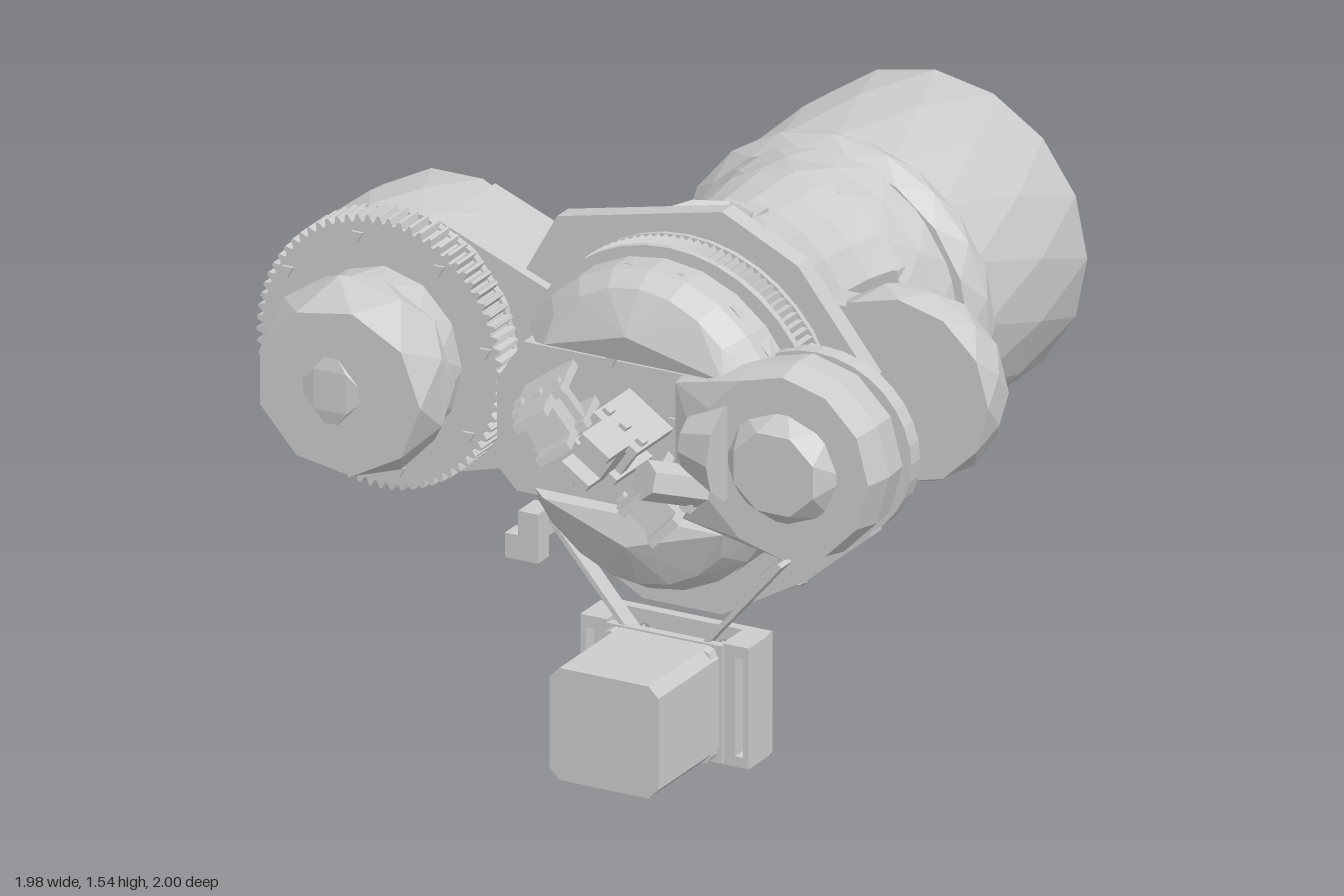
import * as THREE from 'three';
import { ConvexGeometry } from 'three/addons/geometries/ConvexGeometry.js';

const mat = new THREE.MeshStandardMaterial({ color: 0xcccccc, flatShading: true, side: THREE.DoubleSide });

function add(parent, name, geo, x = 0, y = 0, z = 0) {
  const m = new THREE.Mesh(geo, mat);
  m.name = name;
  m.position.set(x, y, z);
  parent.add(m);
  return m;
}

const box = (p, name, x0, x1, y0, y1, z0, z1) =>
  add(p, name, new THREE.BoxGeometry(x1 - x0, y1 - y0, z1 - z0), (x0 + x1) / 2, (y0 + y1) / 2, (z0 + z1) / 2);
const hull = (p, name, pts) => add(p, name, new ConvexGeometry(pts.map((v) => new THREE.Vector3(...v))));

// Faceted body along z from sections [z, cx, cy, rx, ry]; an arc [from, to] in degrees gives an open shell
function loft(p, name, rings, n = 14, caps = [true, true], arc = null) {
  const pos = [], idx = [], cols = arc ? n + 1 : n;
  const [from, to] = arc || [0, 360];
  rings.forEach(([z, cx, cy, rx, ry], i) => {
    for (let j = 0; j < cols; j++) {
      const turn = arc ? 0 : (i % 2) * 0.5;
      const a = THREE.MathUtils.degToRad(from + ((j + turn) / n) * (to - from));
      pos.push(cx + rx * Math.cos(a), cy + ry * Math.sin(a), z);
    }
  });
  for (let i = 0; i < rings.length - 1; i++) {
    for (let j = 0; j < n; j++) {
      const a = i * cols + j, b = i * cols + ((j + 1) % cols), c = a + cols, d = b + cols;
      if (i % 2 === 0) idx.push(a, b, c, b, d, c);
      else idx.push(a, b, d, a, d, c);
    }
  }
  const last = (rings.length - 1) * cols;
  for (let j = 1; j < cols - 1; j++) {
    if (caps[0]) idx.push(0, j + 1, j);
    if (caps[1]) idx.push(last, last + j, last + j + 1);
  }
  const g = new THREE.BufferGeometry();
  g.setAttribute('position', new THREE.Float32BufferAttribute(pos, 3));
  g.setIndex(idx);
  g.computeVertexNormals();
  return add(p, name, g);
}

// Flat outline pushed from z0 to z1, with optional holes
const vecs = (pts) => pts.map(([x, y]) => new THREE.Vector2(x, y));
function prism(p, name, pts, z0, z1, holes = []) {
  const s = new THREE.Shape(vecs(pts));
  holes.forEach((h) => s.holes.push(new THREE.Path(vecs(h))));
  return add(p, name, new THREE.ExtrudeGeometry(s, { depth: z1 - z0, bevelEnabled: false }), 0, 0, z0);
}
const ngon = (cx, cy, rx, ry, n, turn = 0) => Array.from({ length: n }, (_, i) => {
  const a = ((i + turn) / n) * Math.PI * 2;
  return [cx + rx * Math.cos(a), cy + ry * Math.sin(a)];
});
const ring = (cx, cy, r, z, n, turn = 0) => ngon(cx, cy, r, r, n, turn).map(([x, y]) => [x, y, z]);
const rect = (x0, x1, y0, y1) => [[x0, y0], [x1, y0], [x1, y1], [x0, y1]];

// Small three-sided screw marks round a face
function screws(p, cx, cy, r, z, n) {
  ring(cx, cy, r, z, n, 0.25).forEach((v) => {
    const m = add(p, 'screw', new THREE.CylinderGeometry(0.02, 0.02, 0.012, 3), ...v);
    m.rotation.x = Math.PI / 2;
  });
}

function buildUpperArm(g) {
  const cx = 0.21, cy = 0.975;
  // Hollow rear tube with its end face and inner board
  loft(g, 'rearTube', [[-1, cx, cy, 0.46, 0.45], [-0.75, cx, cy, 0.47, 0.46], [-0.46, cx, cy, 0.455, 0.45]], 16, [false, false]);
  const opening = [[-0.12, 0.8], [0.02, 0.64], [0.4, 0.64], [0.54, 0.8], [0.54, 1.17], [-0.12, 1.17]];
  const slot = [[-0.08, 1.22], [0.5, 1.22], [0.36, 1.34], [0.06, 1.34]];
  prism(g, 'tubeWall', ngon(cx, cy, 0.455, 0.445, 16), -0.998, -0.5, [opening, slot]);
  box(g, 'innerBoard', 0.16, 0.34, 0.66, 1.17, -0.82, -0.5);
  box(g, 'innerRail', 0.02, 0.09, 0.66, 1.17, -0.9, -0.5);
  screws(g, cx, cy, 0.41, -0.998, 12);
  loft(g, 'collar', [[-0.48, cx, cy, 0.47, 0.455], [-0.44, cx, cy, 0.475, 0.465], [-0.39, cx, cy, 0.44, 0.43]], 18);
  // Neck, then an upper and a lower shell with the sides open
  loft(g, 'neck', [[-0.42, cx, cy, 0.42, 0.44], [-0.32, cx, 0.96, 0.395, 0.45], [-0.22, cx, 0.96, 0.365, 0.45]], 16);
  const shell = [[-0.23, cx, 0.96, 0.385, 0.45], [-0.12, 0.2, 0.965, 0.35, 0.435], [0, 0.2, 0.965, 0.335, 0.435],
    [0.12, 0.2, 0.975, 0.35, 0.445], [0.22, 0.2, 0.985, 0.39, 0.46], [0.36, 0.205, 0.98, 0.425, 0.465]];
  loft(g, 'upperShell', shell, 8, [false, false], [32, 148]);
  loft(g, 'lowerShell', shell, 8, [false, false], [212, 328]);
  // Access port on top
  const rim = add(g, 'portRim', new THREE.TorusGeometry(0.13, 0.035, 4, 8), 0.22, 1.42, 0.27);
  rim.rotation.x = Math.PI / 2;
  add(g, 'portCore', new THREE.CylinderGeometry(0.06, 0.11, 0.06, 6), 0.22, 1.42, 0.27);
  prism(g, 'topTab', rect(0.15, 0.27, 1.36, 1.405), 0.02, 0.13);
  // Drive unit seen through the open sides
  box(g, 'innerDrive', -0.1, 0.53, 0.72, 1.19, -0.37, -0.215);
  box(g, 'driveShaft', 0.1, 0.42, 0.91, 1.09, -0.22, 0);
}

function buildBearing(g) {
  const cx = 0.24, cy = 0.97;
  prism(g, 'mountPlate', [
    [0.1, 0.39], [0.34, 0.39], [0.6, 0.54], [0.79, 0.7], [0.79, 1.15], [0.57, 1.43], [0.34, 1.54],
    [-0.16, 1.43], [-0.26, 1.25], [-0.26, 0.75], [-0.13, 0.52]], 0.34, 0.4);
  // Finely toothed pulley between two rims
  const teeth = ngon(cx, cy, 1, 1, 240).map(([x, y], i) => {
    const r = i % 2 ? 0.465 : 0.452;
    return [cx + (x - cx) * r, cy + (y - cy) * r * 1.045];
  });
  prism(g, 'pulley', teeth, 0.415, 0.49);
  for (const z of [0.395, 0.49]) prism(g, 'pulleyRim', ngon(cx, cy, 0.465, 0.487, 40), z, z + 0.02);
  // Belt runs down to the motor
  for (const s of [-1, 1]) {
    const a = new THREE.Vector2(0.21 + s * 0.35, 0.6), b = new THREE.Vector2(0.21 + s * 0.05, 0.25);
    const d = a.clone().sub(b);
    const m = add(g, 'beltRun', new THREE.BoxGeometry(0.014, d.length(), 0.055), (a.x + b.x) / 2, (a.y + b.y) / 2, 0.455);
    m.rotation.z = Math.atan2(-d.x, d.y);
  }
  box(g, 'tensionBlock', -0.24, -0.14, 0.49, 0.56, 0.48, 0.54);
  box(g, 'tensionBlockTop', -0.2, -0.14, 0.55, 0.63, 0.45, 0.54);
  add(g, 'cableEye', new THREE.TorusGeometry(0.025, 0.008, 5, 10), 0.56, 0.54, 0.38);
}

function buildMotor(g) {
  prism(g, 'motorBody', [[0.08, 0.015], [0.35, 0.015], [0.38, 0.045], [0.38, 0.305], [0.35, 0.335], [0.08, 0.335], [0.05, 0.305], [0.05, 0.045]], 0.48, 0.82);
  const holes = [[0.09, 0.05], [0.33, 0.05], [0.09, 0.29], [0.33, 0.29]].map(([x, y]) => ngon(x, y, 0.018, 0.018, 8));
  prism(g, 'motorPlate', rect(-0.04, 0.46, 0, 0.345), 0.34, 0.37, [ngon(0.21, 0.17, 0.095, 0.095, 6), ...holes]);
  prism(g, 'motorFacePlate', rect(0.04, 0.39, 0.005, 0.34), 0.465, 0.49);
  // Slotted side flanges
  for (const s of [-1, 1]) {
    const x = 0.21 + s * 0.215;
    prism(g, 'sideFlange', rect(x - 0.04, x + 0.04, 0, 0.345), 0.37, 0.48, [rect(x - 0.012 + s * 0.01, x + 0.012 + s * 0.01, 0.03, 0.31)]);
    for (const y of [0.035, 0.31]) {
      const b = add(g, 'motorBolt', new THREE.CylinderGeometry(0.025, 0.025, 0.05, 8), 0.21 + s * 0.14, y, 0.5);
      b.rotation.x = Math.PI / 2;
    }
  }
  prism(g, 'motorPulley', ngon(0.21, 0.17, 0.07, 0.07, 16), 0.36, 0.47, [ngon(0.21, 0.17, 0.025, 0.025, 8)]);
}

function buildShoulder(g) {
  const cx = -0.62, cy = 1.0;
  loft(g, 'housing', [[0.115, cx, cy, 0.35, 0.37], [0.3, cx, cy, 0.37, 0.385], [0.45, cx, cy, 0.365, 0.385]], 14);
  // Fine spur gear
  const gear = ngon(cx, cy, 1, 1, 288).map(([x, y], i) => {
    const r = i % 4 < 2 ? 0.387 : 0.368;
    return [cx + (x - cx) * r * 0.96, cy + (y - cy) * r];
  });
  prism(g, 'gear', gear, 0.44, 0.54);
  screws(g, cx, cy, 0.33, 0.543, 8);
  loft(g, 'frontNeck', [[0.53, -0.605, cy, 0.235, 0.25], [0.65, -0.605, cy, 0.235, 0.25]], 12);
  loft(g, 'frontCap', [[0.64, -0.6, cy, 0.265, 0.265], [0.71, -0.6, cy, 0.28, 0.28], [0.84, -0.58, cy, 0.25, 0.235]], 9);
  loft(g, 'capBoss', [[0.835, -0.6, cy, 0.11, 0.12], [0.847, -0.6, cy, 0.07, 0.08]], 4);
  loft(g, 'rearCap', [[0.015, -0.59, cy, 0.235, 0.245], [0.12, -0.59, cy, 0.25, 0.26]], 9);
  loft(g, 'rearPeg', [[-0.11, -0.59, cy, 0.075, 0.075], [0.02, -0.59, cy, 0.045, 0.05]], 6);
  box(g, 'rearBlock', -0.42, -0.36, 0.86, 1.12, 0.02, 0.13);
  // Web joining the housing to the waist
  prism(g, 'web', [[-0.5, 0.64], [-0.2, 0.72], [0.1, 0.72], [0.1, 1.22], [-0.15, 1.22], [-0.5, 1.36]], 0.125, 0.43);
  loft(g, 'webBoss', [[0.02, -0.1, 0.98, 0.1, 0.2], [0.14, -0.1, 0.98, 0.12, 0.22]], 8);
}

function buildFork(g) {
  const cx = 0.705, cy = 0.995;
  // Front head: a base disc and two rounded crescents with a recessed panel between them
  loft(g, 'headBase', [[0.5, 0.23, 0.97, 0.43, 0.45], [0.57, 0.23, 0.97, 0.43, 0.455]], 16);
  for (const s of [-1, 1]) {
    const pts = [[-0.04, 0.97 + s * 0.22, 0.69], [0.5, 0.97 + s * 0.22, 0.69], [0.22, 0.97 + s * 0.3, 0.715]];
    for (let i = 0; i <= 8; i++) {
      const a = ((30 + i * 15) * Math.PI) / 180;
      pts.push([0.23 + 0.43 * Math.cos(a), 0.97 + s * 0.455 * Math.sin(a), 0.51]);
      pts.push([0.23 + 0.42 * Math.cos(a), 0.97 + s * 0.455 * Math.sin(a), 0.6]);
      pts.push([0.23 + 0.36 * Math.cos(a), 0.97 + s * 0.42 * Math.sin(a), 0.66]);
    }
    hull(g, 'headCrescent', pts);
  }
  prism(g, 'headPanel', [[-0.2, 0.8], [-0.14, 0.74], [0.45, 0.74], [0.45, 1.17], [-0.12, 1.17], [-0.2, 1.05]], 0.5, 0.655);
  // Front arm tapering into its disc
  hull(g, 'frontArm', [...ring(cx, cy, 0.27, 0.56, 12), ...ring(cx, cy, 0.277, 0.645, 12), ...ring(cx, cy, 0.26, 0.73, 12),
    [0.36, 0.76, 0.58], [0.36, 1.18, 0.58], [0.36, 0.78, 0.69], [0.36, 1.16, 0.69]]);
  loft(g, 'frontHub', [[0.7, cx, cy, 0.19, 0.18], [0.78, cx, cy, 0.13, 0.12]], 8);
  prism(g, 'idlerRing', ngon(cx, cy, 0.285, 0.265, 32), 0.49, 0.54);
  // Rear arm, its flat disc and cap
  box(g, 'rearArm', 0.1, 0.66, 0.77, 1.2, -0.01, 0.09);
  loft(g, 'rearDisc', [[-0.03, cx, cy, 0.265, 0.26], [0.03, cx, cy, 0.278, 0.278], [0.1, cx, cy, 0.275, 0.26]], 12);
  loft(g, 'rearCap', [[-0.17, 0.71, cy, 0.11, 0.1], [-0.14, 0.7, cy, 0.15, 0.13], [-0.02, 0.7, cy, 0.205, 0.2]], 8);
  // Recessed core between the two arms
  box(g, 'jointCore', -0.1, 0.44, 0.74, 1.2, 0.09, 0.36);
  box(g, 'coreStep', 0.3, 0.52, 0.8, 1.14, 0.09, 0.25);
}

function buildBrackets(g) {
  // [x, y, roll, yaw, length]
  const specs = [[0.0, 1.05, 0.6, 0.33, 0.34], [0.23, 1.0, -0.6, 0.0, 0.31], [0.31, 0.84, 0.8, 0.3, 0.24]];
  for (const [x, y, roll, yaw, len] of specs) {
    const b = new THREE.Group();
    b.name = 'bracket';
    b.position.set(x, y, 0.65);
    b.rotation.set(0, yaw, roll, 'YXZ');
    g.add(b);
    for (const s of [-1, 1]) {
      box(b, 'bracketCheek', -0.08, 0.08, s * 0.055 - 0.012, s * 0.055 + 0.012, 0, len * 0.65);
      box(b, 'bracketTip', -0.05, 0.05, s * 0.055 - 0.012, s * 0.055 + 0.012, len * 0.6, len);
    }
    box(b, 'bracketBridge', -0.05, 0.05, -0.045, 0.045, len * 0.25, len * 0.8);
    for (const px of [-0.06, 0, 0.06]) box(b, 'bracketPin', px - 0.012, px + 0.012, -0.08, 0.08, len * 0.45, len * 0.55);
  }
  // Flared horn pointing sideways, with its stem
  const horn = add(g, 'horn', new THREE.CylinderGeometry(0.14, 0.08, 0.12, 10), 0.48, 1.01, 0.71);
  horn.rotation.z = -Math.PI / 2;
  const stem = add(g, 'stem', new THREE.CylinderGeometry(0.055, 0.055, 0.18, 6), 0.41, 0.92, 0.8);
  stem.rotation.set(Math.PI / 2.6, 0, 0.5);
  screws(g, 0.15, 0.97, 0.2, 0.658, 5);
}

export function createModel() {
  const root = new THREE.Group();
  root.name = 'armJoint';
  const parts = { upperArm: buildUpperArm, beltBearing: buildBearing, motor: buildMotor, shoulderDrive: buildShoulder, elbowFork: buildFork, frontBrackets: buildBrackets };
  for (const [name, build] of Object.entries(parts)) {
    const g = new THREE.Group();
    g.name = name;
    root.add(g);
    build(g);
  }
  return root;
}
